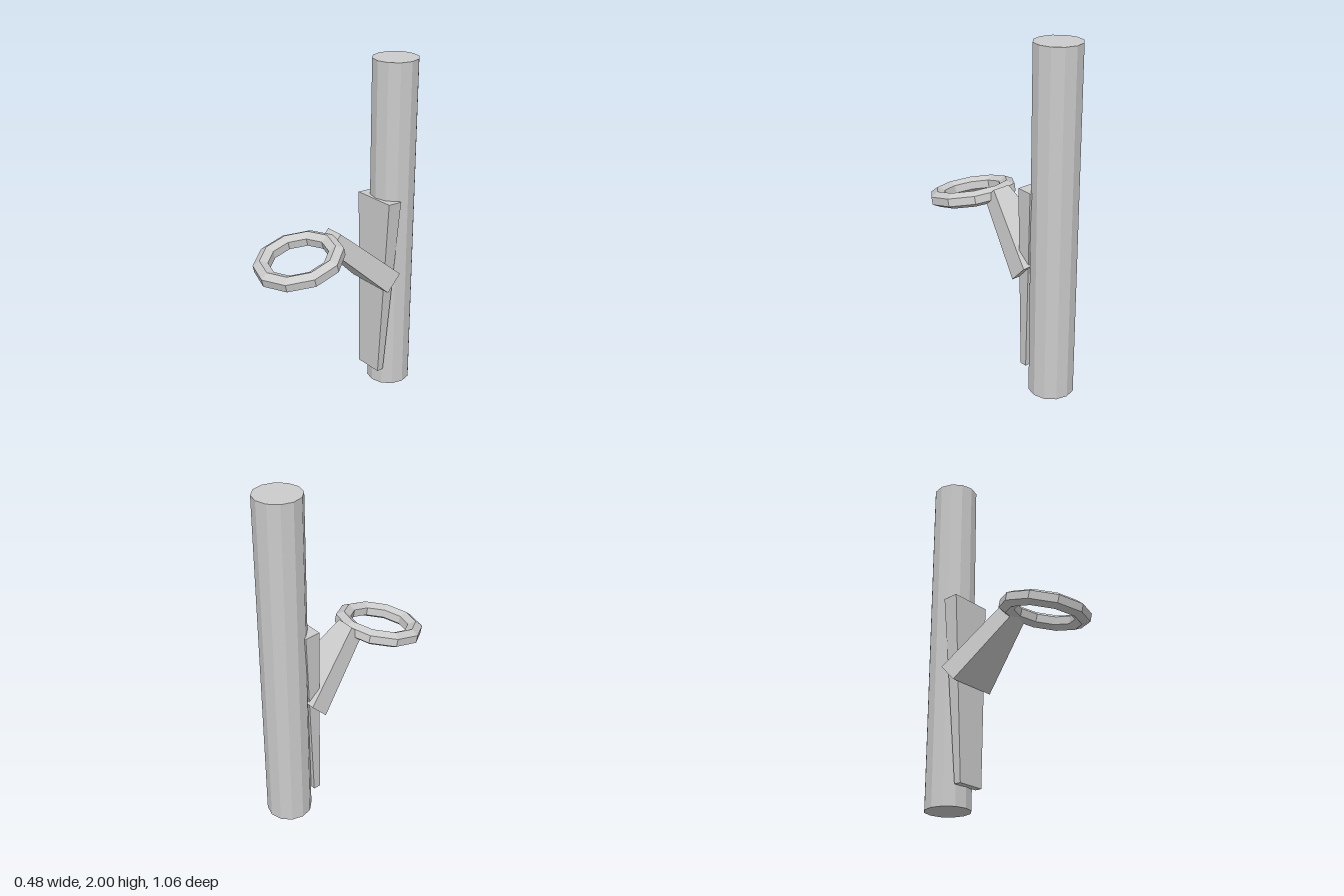
import * as THREE from 'three';

const material = new THREE.MeshStandardMaterial({
  color: 0xcccccc, flatShading: true, side: THREE.DoubleSide,
});

function part(name, geometry) {
  const mesh = new THREE.Mesh(geometry, material);
  mesh.name = name;
  return mesh;
}

// Tapered slab: a box whose two ends are given as half width plus
// front and back edges, each edge as [y, z].
function taperedSlab(lower, upper) {
  const geometry = new THREE.BoxGeometry(1, 1, 1);
  const p = geometry.attributes.position;
  for (let i = 0; i < p.count; i++) {
    const end = p.getY(i) > 0 ? upper : lower;
    const [y, z] = p.getZ(i) > 0 ? end.front : end.back;
    p.setXYZ(i, Math.sign(p.getX(i)) * end.half, y, z);
  }
  geometry.computeVertexNormals();
  return geometry;
}

export function createModel() {
  const model = new THREE.Group();
  model.name = 'poleWithRing';

  // Upright twelve-sided pole
  const pole = part('pole', new THREE.CylinderGeometry(0.13, 0.13, 2, 12));
  pole.position.set(0, 1, -0.396);
  model.add(pole);

  // Mounting plate, wider and thicker towards the top
  model.add(part('mountingPlate', taperedSlab(
    { half: 0.085, front: [0.115, -0.233], back: [0.115, -0.275] },
    { half: 0.13, front: [1.215, -0.254], back: [1.21, -0.344] },
  )));

  // Arm rising forwards from the plate to the ring
  model.add(part('arm', taperedSlab(
    { half: 0.155, front: [0.68, -0.238], back: [0.775, -0.328] },
    { half: 0.055, front: [1.015, 0.105], back: [1.095, 0.032] },
  )));

  // Ten-sided ring with a hexagonal section, tipped down at the front
  const section = [];
  for (let i = 0; i <= 6; i++) {
    const a = -Math.PI / 6 + (i * Math.PI) / 3;
    section.push(new THREE.Vector2(0.21 + 0.049 * Math.cos(a), 0.045 * Math.sin(a)));
  }
  const ring = part('ring', new THREE.LatheGeometry(section, 10));
  ring.rotation.x = 0.236;
  ring.position.set(0, 0.995, 0.28);
  model.add(ring);

  return model;
}
